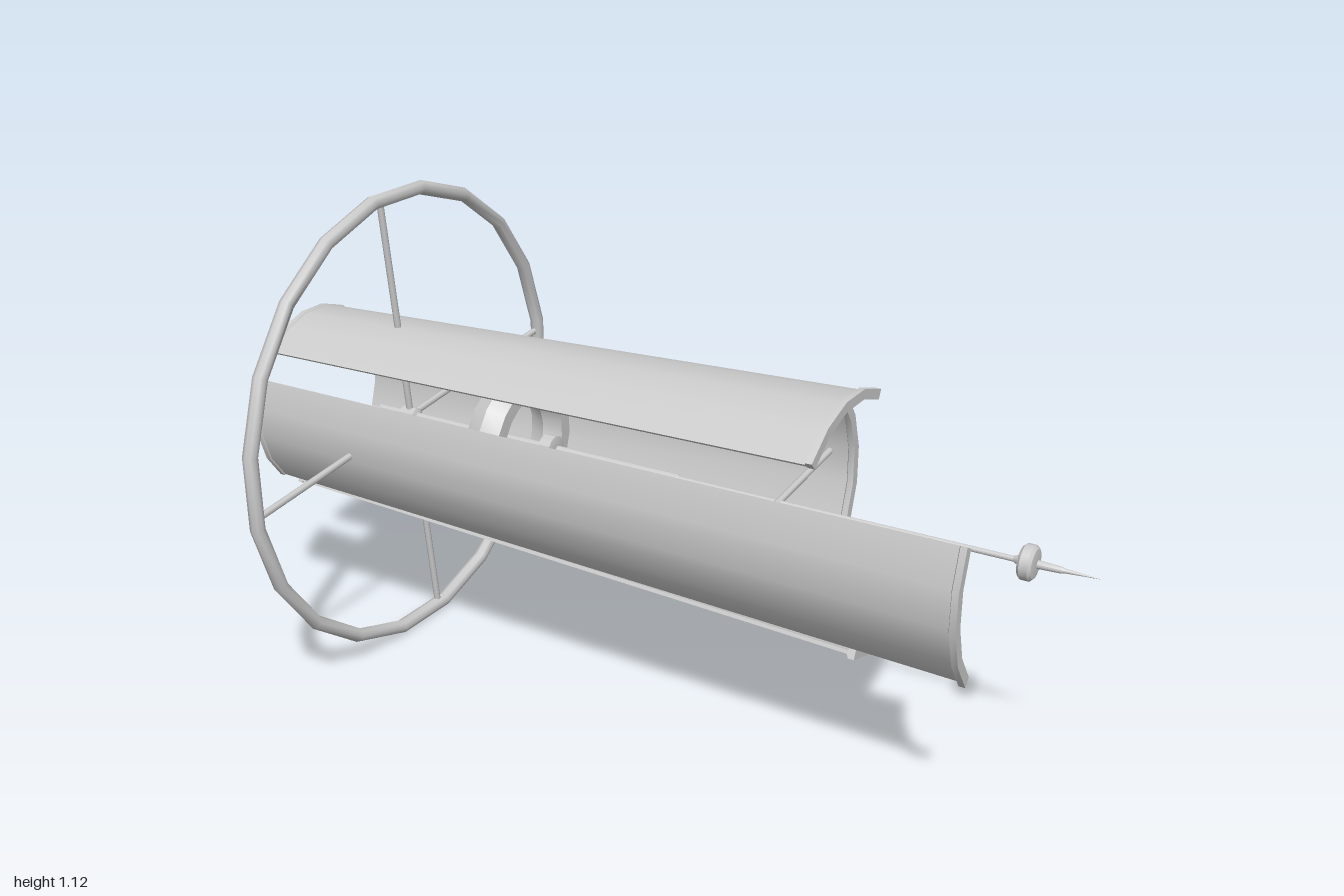
import * as THREE from 'three';
import { toCreasedNormals } from 'three/addons/utils/BufferGeometryUtils.js';

const AXIS_Y = 0.56;
const TILT = THREE.MathUtils.degToRad(6.4);
const grey = new THREE.MeshStandardMaterial({ color: 0xcccccc });
const greyDouble = new THREE.MeshStandardMaterial({ color: 0xcccccc, side: THREE.DoubleSide });

function addMesh(parent, name, geometry, material = grey) {
  const mesh = new THREE.Mesh(geometry, material);
  mesh.name = name;
  parent.add(mesh);
  return mesh;
}

// Revolves [x, radius] points around the x axis; x must run upward on the outside
function revolve(points, segments, start = 0, length = Math.PI * 2) {
  const profile = points.map(([x, r]) => new THREE.Vector2(r, x));
  const g = new THREE.LatheGeometry(profile, segments, start, length);
  return toCreasedNormals(g.rotateZ(-Math.PI / 2), 0.45);
}

// Solid curved slab: closed profile swept over part of a turn, with flat side caps.
// Angle 0 faces +z, angle 90 faces down.
function addCurvedSlab(parent, name, points, startDeg, lengthDeg, segments) {
  const start = THREE.MathUtils.degToRad(startDeg);
  const length = THREE.MathUtils.degToRad(lengthDeg);
  const slab = new THREE.Group();
  slab.name = name;
  parent.add(slab);
  addMesh(slab, name + 'Shell', revolve([...points, points[0]], segments, start, length), greyDouble);
  const section = new THREE.Shape(points.map(([x, r]) => new THREE.Vector2(r, x)));
  for (const angle of [start, start + length]) {
    const cap = new THREE.ShapeGeometry(section).rotateY(angle - Math.PI / 2).rotateZ(-Math.PI / 2);
    addMesh(slab, name + 'SideCap', cap, greyDouble);
  }
}

// Straight bar leaving the axis at station x, turned around the axis
function addRadialBar(parent, name, x, length, radius, angle) {
  const bar = addMesh(parent, name, new THREE.CylinderGeometry(radius, radius, length, 8).translate(0, length / 2, 0));
  bar.position.x = x;
  bar.rotation.x = angle;
}

export function createModel() {
  const model = new THREE.Group();
  model.name = 'model';
  const body = new THREE.Group();
  body.name = 'body';
  body.position.y = AXIS_Y;
  model.add(body);

  // Four flared panels of different lengths, each with a raised rim at the wide end
  const panels = [
    ['frontPanel', 0.81, -27],
    ['bottomPanel', 0.54, 63],
    ['backPanel', 0.35, 153],
    ['topPanel', 0.46, 243],
  ];
  for (const [name, end, start] of panels) {
    addCurvedSlab(body, name, [
      [-1, 0.217], [-1, 0.228], [-0.988, 0.228], [-0.986, 0.225],
      [end - 0.018, 0.274], [end - 0.014, 0.283], [end, 0.283],
      [end, 0.26], [end - 0.014, 0.26], [end - 0.018, 0.266],
    ], start, 72, 4);
  }

  // Raised plate on the outside of the back panel
  addCurvedSlab(body, 'backPlate', [
    [-0.95, 0.226], [-0.95, 0.257], [-0.34, 0.299], [-0.34, 0.25],
  ], 175.5, 27, 2);

  // Large hoop and its spokes
  const hoop = new THREE.TorusGeometry(0.55, 0.017, 8, 20).rotateZ(Math.PI / 20).rotateY(Math.PI / 2);
  addMesh(body, 'hoop', toCreasedNormals(hoop, 0.85)).position.x = -0.71;
  for (let i = 0; i < 4; i++) {
    addRadialBar(body, 'hoopSpoke', -0.71, 0.545, 0.008, TILT + i * Math.PI / 2);
  }

  // Struts holding the front and back panels
  for (const side of [1, -1]) {
    addRadialBar(body, 'panelStrut', 0.29, 0.256, 0.008, TILT + side * Math.PI / 2);
  }

  // Thick inner ring around the central rod
  const ring = new THREE.TorusGeometry(0.134, 0.033, 6, 20).rotateZ(Math.PI / 20).rotateY(Math.PI / 2);
  ring.scale(1.5, 1, 1);
  addMesh(body, 'innerRing', toCreasedNormals(ring, 0.45)).position.x = -0.39;

  // Stepped central rod with hub collars, end disc and pointed tip
  addMesh(body, 'centralRod', revolve([
    [-0.8, 0], [-0.8, 0.01], [-0.735, 0.01], [-0.73, 0.02], [-0.69, 0.02], [-0.685, 0.01],
    [-0.32, 0.01], [-0.315, 0.032], [-0.285, 0.032], [-0.28, 0.01],
    [0.04, 0.01], [0.045, 0.006], [0.82, 0.006],
  ], 12));
  addMesh(body, 'endDisc', revolve([
    [0.82, 0], [0.82, 0.006], [0.832, 0.012], [0.836, 0.032], [0.842, 0.038],
    [0.86, 0.038], [0.866, 0.032], [0.87, 0.009], [0.92, 0.007], [0.925, 0.005], [1, 0],
  ], 16));

  return model;
}
